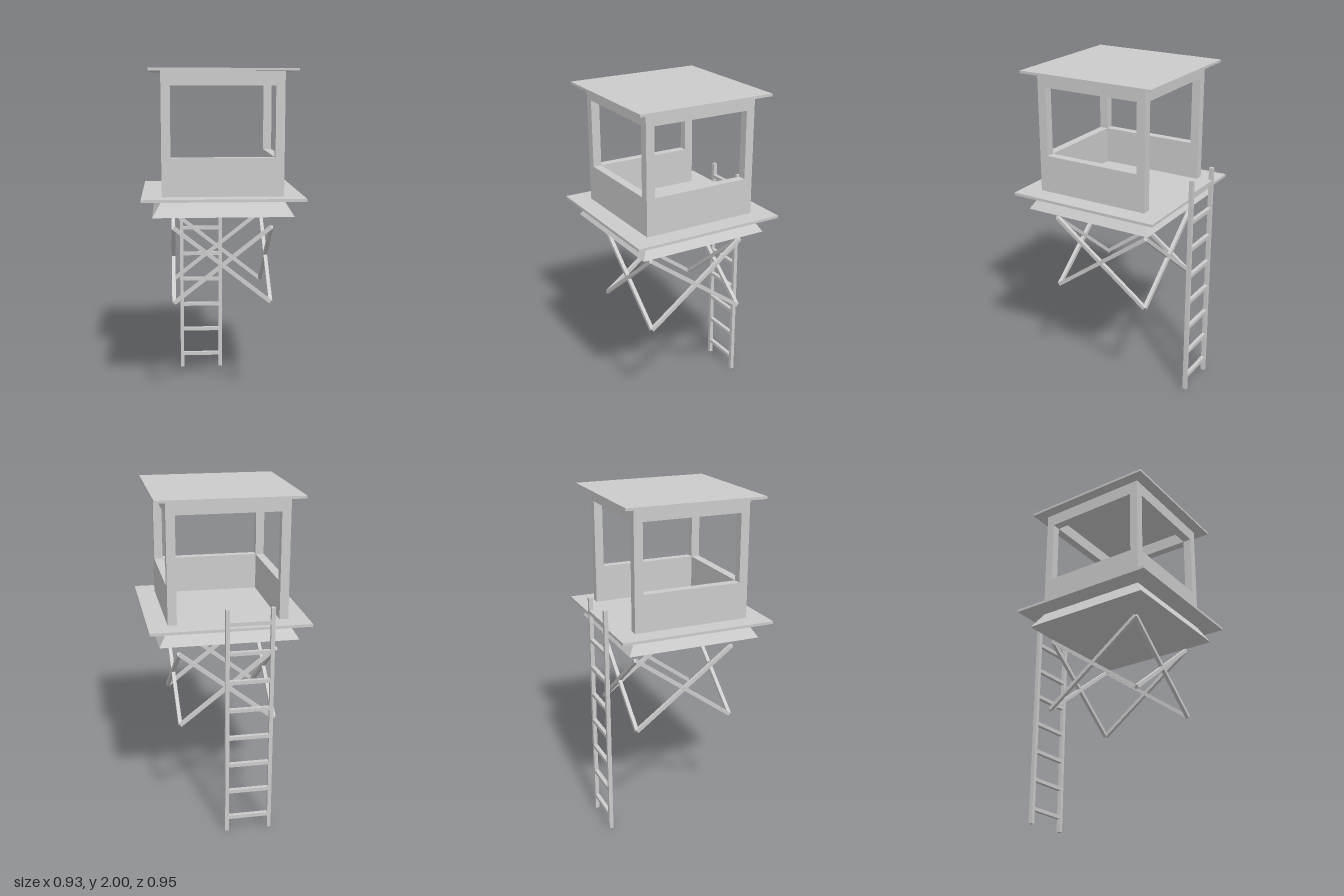
import * as THREE from 'three';

const material = new THREE.MeshStandardMaterial({ color: 0xcccccc });

// box given by its [min, max] range on each axis
function block(parent, name, [x0, x1], [y0, y1], [z0, z1]) {
  const mesh = new THREE.Mesh(new THREE.BoxGeometry(x1 - x0, y1 - y0, z1 - z0), material);
  mesh.position.set((x0 + x1) / 2, (y0 + y1) / 2, (z0 + z1) / 2);
  mesh.name = name;
  parent.add(mesh);
  return mesh;
}

// square rod between two points
function rod(parent, name, a, b, size) {
  const mesh = new THREE.Mesh(new THREE.BoxGeometry(size, size, a.distanceTo(b)), material);
  mesh.position.copy(a).add(b).multiplyScalar(0.5);
  mesh.lookAt(b);
  mesh.name = name;
  parent.add(mesh);
}

function group(parent, name) {
  const g = new THREE.Group();
  g.name = name;
  parent.add(g);
  return g;
}

export function createModel() {
  const model = new THREE.Group();
  model.name = 'watchtower';
  const cz = 0.0125; // centre of the hut in z

  // roof and platform slabs
  block(model, 'roof', [-0.415, 0.415], [1.985, 2], [cz - 0.417, cz + 0.417]);
  block(model, 'platform', [-0.463, 0.463], [1.267, 1.283], [cz - 0.463, cz + 0.463]);

  // flared base below the platform
  const base = block(model, 'flaredBase', [-0.403, 0.403], [1.172, 1.267], [cz - 0.403, cz + 0.403]);
  const p = base.geometry.attributes.position;
  for (let i = 0; i < p.count; i++) {
    if (p.getY(i) > 0) {
      p.setX(i, Math.sign(p.getX(i)) * 0.345);
      p.setZ(i, Math.sign(p.getZ(i)) * 0.345);
    }
  }
  base.geometry.computeVertexNormals();

  // cabin: corner posts, top beams and low walls, open doorway at the back
  const cabin = group(model, 'cabin');
  cabin.position.z = cz;
  const out = 0.348, inn = 0.296;
  const floor = 1.283, sill = 1.503, lintel = 1.905, top = 1.985;
  const span = [-inn, inn];
  for (const s of [-1, 1]) {
    const edge = s > 0 ? [inn, out] : [-out, -inn];
    block(cabin, 'leftPost', [inn, out], [floor, top], edge);
    block(cabin, 'rightPost', [-out, -inn], [floor, top], edge);
    block(cabin, 'sideBeam', edge, [lintel, top], span);
    block(cabin, s > 0 ? 'frontBeam' : 'backBeam', span, [lintel, top], edge);
    block(cabin, 'sideWall', edge, [floor, sill], span);
  }
  block(cabin, 'frontWall', span, [floor, sill], [inn, out]);

  // crossed braces on all four sides
  const braces = group(model, 'crossBraces');
  braces.position.set(0, 0.873, -0.004);
  const bx = 0.283, bz = 0.304, h = 0.223;
  for (const s of [-1, 1]) {
    for (const d of [-1, 1]) {
      rod(braces, s > 0 ? 'frontBrace' : 'backBrace',
        new THREE.Vector3(-bx, -h * d, s * bz), new THREE.Vector3(bx, h * d, s * bz), 0.022);
      rod(braces, s > 0 ? 'leftBrace' : 'rightBrace',
        new THREE.Vector3(s * bx, -h * d, -bz), new THREE.Vector3(s * bx, h * d, bz), 0.022);
    }
  }

  // ladder at the back
  const ladder = group(model, 'ladder');
  const lz = [-0.476, -0.452];
  block(ladder, 'ladderRail', [-0.238, -0.215], [0, 1.4], lz);
  block(ladder, 'ladderRail', [0.02, 0.043], [0, 1.4], lz);
  for (let i = 0; i < 8; i++) {
    const y = 0.09 + i * 0.175;
    block(ladder, 'ladderRung', [-0.215, 0.02], [y - 0.011, y + 0.011], lz);
  }

  return model;
}
